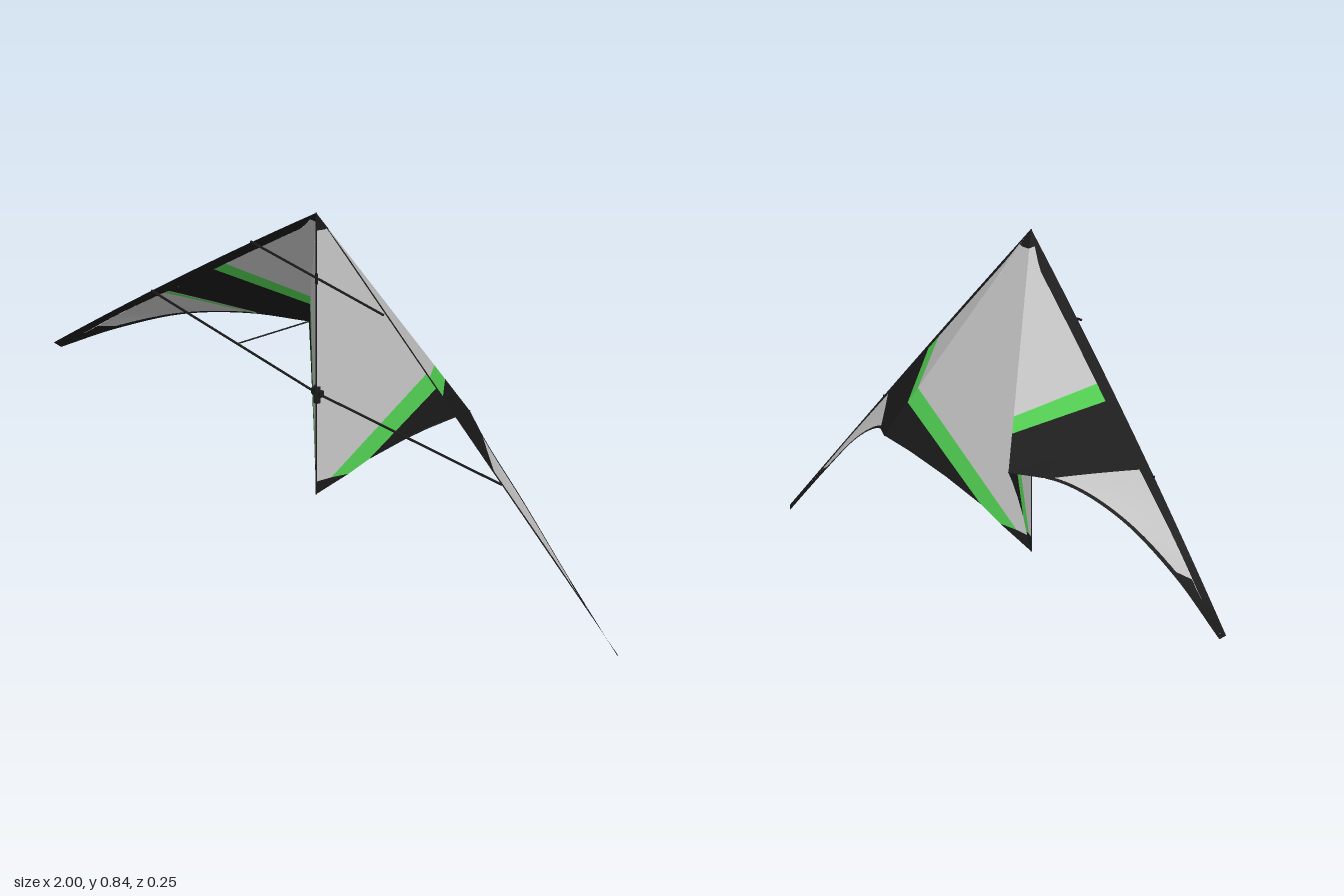
import * as THREE from 'three';

const mat = (name, color) => {
  const m = new THREE.MeshStandardMaterial({ color, side: THREE.DoubleSide });
  m.name = name;
  return m;
};
const V = (x, y, z) => new THREE.Vector3(x, y, z);

const NOSE = V(0, 0.84, 0.12), TAIL = V(0, 0.05, 0.12), STAND = V(0.285, 0.312, -0.12);
const trailing = new THREE.CatmullRomCurve3([
  STAND, V(0.42, 0.302, -0.055), V(0.6, 0.242, -0.005), V(0.8, 0.128, 0.03), V(0.985, 0, 0.045),
]);

// Leading edge, and the inner border (ridge to the standoff, then trailing edge)
const lead = (s) => V(s, 0.84 - 0.83 * s + 0.04 * s * (1 - s), 0.12 - 0.04 * s - 0.025 * s * s);
const inner = (s) => (s < 0.5
  ? NOSE.clone().lerp(STAND, s * 2)
  : trailing.getPoint(Math.min(1, (s - 0.5) * 2)));
const hem = (s, width) => Math.min(0.45, width / Math.max(1e-4, lead(s).distanceTo(inner(s))));
const sleeve = (s) => hem(s, 0.028);
const trailHem = (s) => (s > 0.58 ? 1 - hem(s, 0.02) : 1);

// Strip of the outer wing between two rulings and two border functions
function wingPatch(side, l0, l1, i0, i1, vA, vB, segs, dz = 0) {
  const pos = [], idx = [], rows = 6;
  for (let i = 0; i <= segs; i++) {
    const f = i / segs, sl = l0 + (l1 - l0) * f, si = i0 + (i1 - i0) * f;
    for (let j = 0; j <= rows; j++) {
      const mid = sl + (si - sl) * (j / rows);
      const a = vA(mid), v = a + (vB(mid) - a) * (j / rows);
      const s = sl + (si - sl) * v;
      const p = lead(s).lerp(inner(s), v);
      pos.push(p.x * side, p.y, p.z + dz);
      if (i < segs && j < rows) {
        const k = i * (rows + 1) + j, n = k + rows + 1;
        idx.push(k, k + 1, n, k + 1, n + 1, n);
      }
    }
  }
  const g = new THREE.BufferGeometry();
  g.setAttribute('position', new THREE.Float32BufferAttribute(pos, 3));
  g.setIndex(idx);
  g.computeVertexNormals();
  return g;
}

// Flat piece of the keel panel, drawn in x and y and laid on its slanting plane
function keelPiece(side, pts) {
  const g = new THREE.ShapeGeometry(new THREE.Shape(pts.map(([x, y]) => new THREE.Vector2(x, y))));
  const p = g.attributes.position;
  for (let i = 0; i < p.count; i++) {
    const x = p.getX(i);
    p.setXYZ(i, x * side, p.getY(i), 0.12 - (0.24 / 0.285) * x);
  }
  g.computeVertexNormals();
  return g;
}

// Thin straight rod between two points
function rod(a, b, r) {
  const g = new THREE.CylinderGeometry(r, r, a.distanceTo(b), 6);
  const q = new THREE.Quaternion().setFromUnitVectors(V(0, 1, 0), b.clone().sub(a).normalize());
  g.applyQuaternion(q);
  const m = a.clone().lerp(b, 0.5);
  return g.translate(m.x, m.y, m.z);
}

export function createModel() {
  const grey = mat('greySail', 0xcccccc);
  const green = mat('greenTrim', 0x55d655);
  const black = mat('blackCloth', 0x1b1b1b);
  const model = new THREE.Group();
  model.name = 'stuntKite';
  const add = (parent, name, geo, m) => {
    const mesh = new THREE.Mesh(geo, m);
    mesh.name = name;
    parent.add(mesh);
  };
  const zero = () => 0, one = () => 1;

  for (const side of [1, -1]) {
    const half = new THREE.Group();
    half.name = side > 0 ? 'leftHalf' : 'rightHalf';
    model.add(half);

    // Outer wing, from nose to tip
    const wing = (name, m, l0, l1, i0, i1, segs) =>
      add(half, name, wingPatch(side, l0, l1, i0, i1, sleeve, trailHem, segs), m);
    wing('noseReinforcement', black, 0, 0.04, 0, 0.04, 2);
    wing('upperPanel', grey, 0.04, 0.38, 0.04, 0.385, 12);
    wing('wingStripe', green, 0.38, 0.425, 0.385, 0.42, 3);
    wing('middlePanel', black, 0.425, 0.6, 0.42, 0.59, 17);
    wing('outerPanel', grey, 0.6, 0.88, 0.59, 0.86, 18);
    wing('wingTip', black, 0.88, 1, 0.86, 1, 6);
    add(half, 'leadingSleeve', wingPatch(side, 0, 1, 0, 1, zero, sleeve, 40), black);
    add(half, 'trailingHem', wingPatch(side, 0.585, 1, 0.585, 1, trailHem, one, 24), black);
    add(half, 'frontPiping', wingPatch(side, 0.598, 0.612, 0.588, 0.598, sleeve, trailHem, 2, 0.004), green);

    // Keel panel between the spine and the standoff
    add(half, 'keelNose', keelPiece(side, [[0, 0.84], [0, 0.79], [0.016, 0.795], [0.0215, 0.8]]), black);
    add(half, 'keelPanel', keelPiece(side,
      [[0, 0.79], [0.016, 0.795], [0.0215, 0.8], [0.2195, 0.4335], [0.028, 0.1], [0, 0.085]]), grey);
    add(half, 'keelStripe', keelPiece(side,
      [[0.2195, 0.4335], [0.2395, 0.3965], [0.098, 0.158], [0.06, 0.113], [0.028, 0.1]]), green);
    add(half, 'keelCorner', keelPiece(side,
      [[0.2395, 0.3965], [0.285, 0.312], [0.235, 0.277], [0.165, 0.22], [0.098, 0.158]]), black);
    add(half, 'keelTail', keelPiece(side, [[0, 0.085], [0.028, 0.1], [0.06, 0.113], [0, 0.05]]), black);

    // Frame rods
    const end = lead(0.62);
    const hub = V(0, 0.335, 0.12), joint = V(end.x * side, 0.335, end.z);
    add(half, 'lowerSpreader', rod(hub, joint, 0.003), black);
    add(half, 'standoff', rod(hub.clone().lerp(joint, 0.48), V(STAND.x * side, STAND.y, STAND.z), 0.002), black);
  }

  const up = lead(0.235);
  add(model, 'upperSpreader', rod(V(-up.x, 0.655, 0.117), V(up.x, 0.655, 0.117), 0.003), black);
  add(model, 'spine', rod(NOSE, TAIL, 0.002), black);
  add(model, 'centreFitting', new THREE.CylinderGeometry(0.009, 0.009, 0.045, 8).translate(0, 0.33, 0.117), black);
  add(model, 'centreCollar', new THREE.BoxGeometry(0.032, 0.016, 0.012).translate(0, 0.335, 0.116), black);
  add(model, 'upperFitting', new THREE.CylinderGeometry(0.004, 0.004, 0.03, 8).translate(0, 0.655, 0.118), black);
  return model;
}
